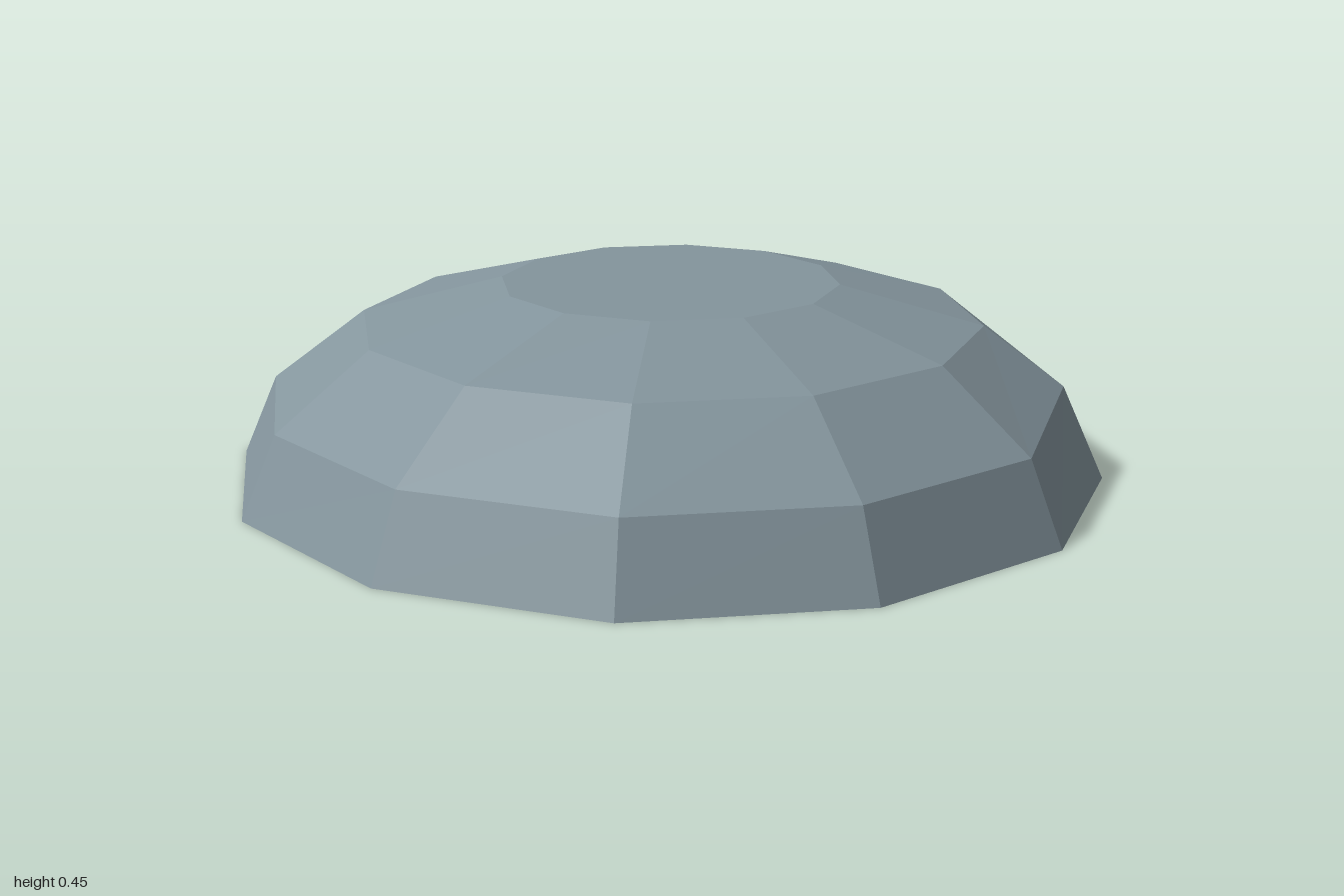
import * as THREE from 'three';

const grey = new THREE.MeshStandardMaterial({ color: 0x84959d, flatShading: true, side: THREE.DoubleSide });
grey.name = 'slateGrey';

function add(parent, name, geometry, x, y, z, ry = 0) {
  const m = new THREE.Mesh(geometry, grey);
  m.name = name;
  m.position.set(x, y, z);
  m.rotation.y = ry;
  parent.add(m);
  return m;
}
const box = (p, name, w, h, d, x, y, z, ry) => add(p, name, new THREE.BoxGeometry(w, h, d), x, y + h / 2, z, ry);
const drum = (p, name, r0, r1, h, x, y, z, n = 12) =>
  add(p, name, new THREE.CylinderGeometry(r1, r0, h, n), x, y + h / 2, z);

// Twelve-sided faceted shell, open below, dented along the back
function domeGeometry() {
  const rings = [[1.035, 0], [0.953, 0.19], [0.731, 0.36], [0.397, 0.45]].map(([r, y]) =>
    Array.from({ length: 12 }, (_, k) => {
      const a = Math.PI / 12 + k * Math.PI / 6;
      return [r * Math.sin(a), y, r * Math.cos(a)];
    }));
  rings[0][4] = [0.72, 0, -0.72];
  rings[0][5] = [0.265, 0, -0.985];
  rings[1][4] = [0.65, 0.22, -0.65];
  rings[1][5] = [0.23, 0.235, -0.85];
  rings[1][6] = [-0.24, 0.23, -0.875];
  const pos = [];
  for (let k = 0; k < 12; k++) {
    const n = (k + 1) % 12;
    for (let i = 0; i < 3; i++) {
      const a = rings[i][k], b = rings[i][n], c = rings[i + 1][n], d = rings[i + 1][k];
      pos.push(...a, ...b, ...c, ...a, ...c, ...d);
    }
    pos.push(0, 0.45, 0, ...rings[3][k], ...rings[3][n]);
  }
  const g = new THREE.BufferGeometry();
  g.setAttribute('position', new THREE.Float32BufferAttribute(pos, 3));
  g.computeVertexNormals();
  return g;
}

// Curved block of wall standing on the ground
function arcWall(p, name, r0, r1, h, start, sweep, x, y, z) {
  const s = new THREE.Shape();
  s.absarc(0, 0, r1, start, start + sweep, false);
  s.absarc(0, 0, r0, start + sweep, start, true);
  const g = new THREE.ExtrudeGeometry(s, { depth: h, bevelEnabled: false, curveSegments: 8 });
  g.rotateX(-Math.PI / 2);
  return add(p, name, g, x, y, z);
}

// Round pad with a circle of small buildings
function station(p, name, x, z, r, count, sweep, start) {
  const s = new THREE.Group();
  s.name = name;
  s.position.set(x, 0, z);
  p.add(s);
  drum(s, 'pad', r, r, 0.015, 0, 0, 0, 16);
  for (let i = 0; i < count; i++) {
    const a = start + sweep * i / count;
    const h = 0.035 + 0.018 * (i % 3);
    box(s, 'building', r * 0.42, h, r * 0.3, Math.sin(a) * r * 0.78, 0.015, Math.cos(a) * r * 0.78, a);
    box(s, 'roofUnit', r * 0.2, 0.015, r * 0.16, Math.sin(a) * r * 0.78, 0.015 + h, Math.cos(a) * r * 0.78, a);
  }
  return s;
}

// Thin mast carrying an upright oval dish
function mast(p, x, z, h) {
  drum(p, 'mast', 0.005, 0.004, h, x, 0, z, 6);
  const dish = add(p, 'dish', new THREE.CylinderGeometry(0.028, 0.028, 0.006, 12), x, h + 0.02, z, 0.7);
  dish.rotation.set(Math.PI / 2, 0, 0.7);
  dish.scale.set(0.8, 1, 1.3);
}

export function createModel() {
  const model = new THREE.Group();
  model.name = 'domedOutpost';
  add(model, 'domeShell', domeGeometry(), 0, 0, 0);

  const base = new THREE.Group();
  base.name = 'outpost';
  base.position.set(-0.055, 0.05, 0.066);
  model.add(base);

  // Main hub with its curved hall and side pads
  drum(base, 'hubPad', 0.16, 0.16, 0.018, 0.13, 0, 0.25, 20);
  arcWall(base, 'hubHall', 0.1, 0.155, 0.075, -0.4, 2.6, 0.13, 0.018, 0.25);
  arcWall(base, 'hubGallery', 0.11, 0.14, 0.025, -0.2, 2.2, 0.13, 0.093, 0.25);
  drum(base, 'hubCore', 0.05, 0.04, 0.04, 0.13, 0.018, 0.25, 10);
  station(base, 'southPad', 0.18, 0.53, 0.08, 5, 6.28, 0.3);
  station(base, 'westPad', -0.17, 0.25, 0.09, 6, 6.28, 0);
  station(base, 'eastPad', 0.27, 0.38, 0.065, 4, 6.28, 0.6);
  box(base, 'hubLink', 0.08, 0.015, 0.2, 0.17, 0, 0.42);
  box(base, 'westLink', 0.16, 0.015, 0.06, -0.06, 0, 0.25);

  // Long runway of parallel strips with rails and blocks
  for (const [dz, len] of [[-0.045, 0.72], [0.005, 0.8], [0.055, 0.66]]) {
    box(base, 'runwayStrip', len, 0.016, 0.038, 0.15, 0, -0.21 + dz);
    box(base, 'runwayRail', len * 0.96, 0.012, 0.008, 0.15, 0.016, -0.21 + dz);
  }
  for (let i = 0; i < 4; i++) box(base, 'crossBeam', 0.025, 0.012, 0.15, -0.1 + i * 0.17, 0.012, -0.205);
  box(base, 'runwayEnd', 0.07, 0.05, 0.12, 0.53, 0, -0.2);

  // Buildings between the hub and the far ring
  for (const [x, z, w, h, d] of [
    [0.12, -0.09, 0.12, 0.06, 0.08], [0.02, -0.06, 0.07, 0.04, 0.07], [0.24, -0.08, 0.08, 0.045, 0.06],
    [0.1, -0.36, 0.13, 0.06, 0.08], [0.23, -0.36, 0.09, 0.075, 0.07], [0.33, -0.33, 0.06, 0.04, 0.06],
  ]) {
    box(base, 'block', w, h, d, x, 0, z);
    box(base, 'blockRoof', w * 0.5, 0.02, d * 0.5, x, h, z);
  }
  box(base, 'spine', 0.06, 0.015, 0.2, 0.12, 0, 0.03);

  // Far landing pad and its ring of buildings
  drum(base, 'landingPad', 0.1, 0.1, 0.015, -0.11, 0, -0.42, 16);
  drum(base, 'landingCore', 0.04, 0.03, 0.025, -0.11, 0.015, -0.42, 8);
  arcWall(base, 'ringWalk', 0.12, 0.17, 0.016, 0, Math.PI * 1.5, -0.09, 0, -0.59);
  for (let i = 0; i < 9; i++) {
    const a = -Math.PI * 0.95 + i * 0.5;
    const x = -0.09 + 0.15 * Math.sin(a), z = -0.59 + 0.15 * Math.cos(a);
    box(base, 'ringBuilding', 0.065, 0.045 + 0.02 * (i % 2), 0.045, x, 0.01, z, a);
    box(base, 'ringRoof', 0.03, 0.02, 0.025, x, 0.055 + 0.02 * (i % 2), z, a);
  }

  mast(base, 0.35, 0.32, 0.12);
  mast(base, 0.17, -0.43, 0.1);
  for (const [x, z, h] of [[0.5, -0.22, 0.09], [0.3, -0.16, 0.12], [-0.04, -0.74, 0.11], [-0.24, 0.27, 0.09]])
    drum(base, 'antenna', 0.004, 0.003, h, x, 0, z, 5);
  return model;
}
